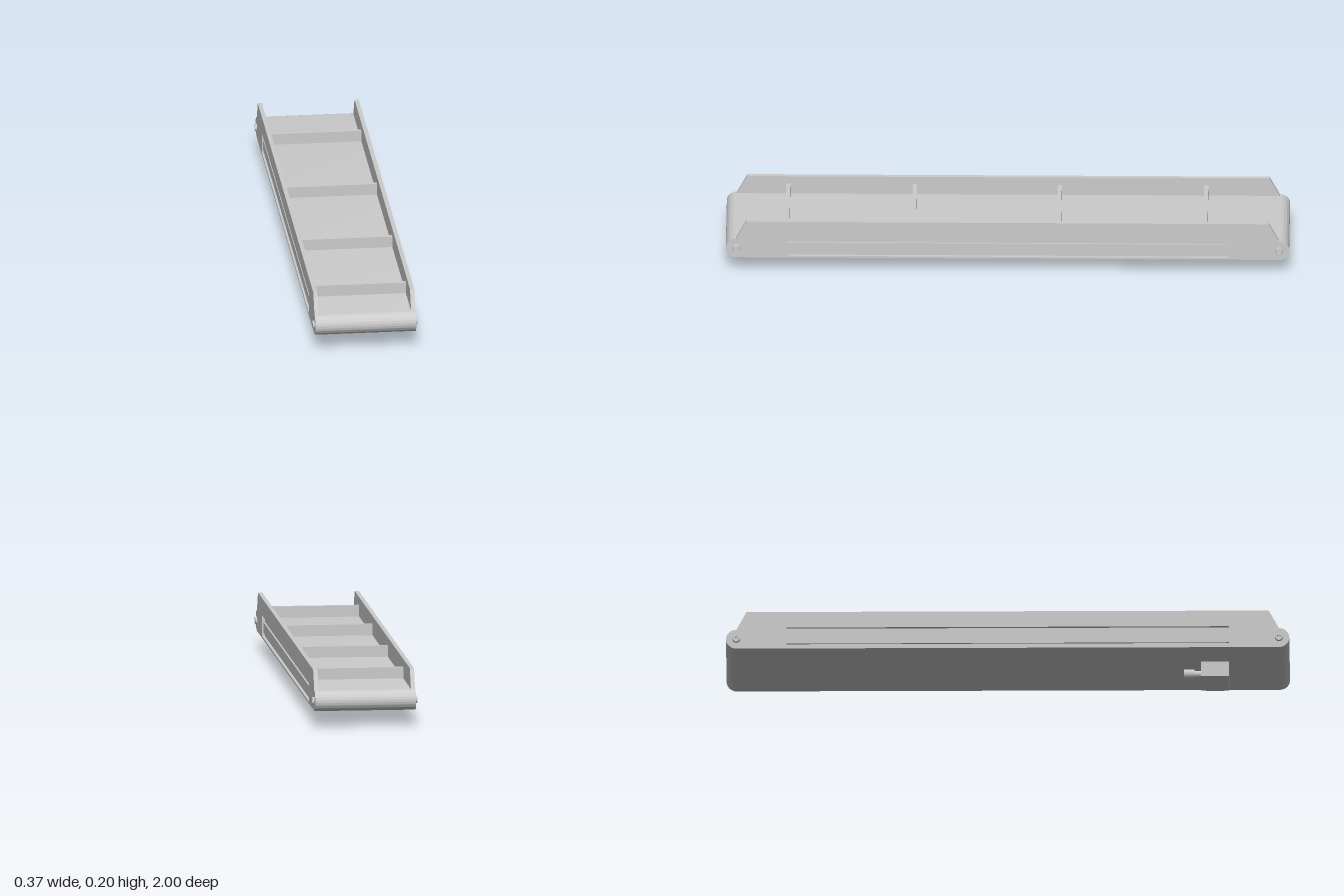
import * as THREE from 'three';
import { toCreasedNormals } from 'three/addons/utils/BufferGeometryUtils.js';

const material = new THREE.MeshStandardMaterial({ color: 0xcccccc });
const MID_Y = 0.094, END_Z = 0.963, RADIUS = 0.037;
const INNER_X = 0.165, OUTER_X = 0.18;
const SLOT = { z: 0.785, bottom: 0.064, top: 0.139 };

export function createModel() {
  const model = new THREE.Group();
  model.name = 'conveyor';

  const add = (name, geometry, x = 0, y = 0, z = 0) => {
    const mesh = new THREE.Mesh(geometry, material);
    mesh.name = name;
    mesh.position.set(x, y, z);
    model.add(mesh);
    return mesh;
  };
  const box = (name, w, h, d, x, y, z) => add(name, new THREE.BoxGeometry(w, h, d), x, y, z);

  // Extrudes a z-y outline across x, centred on x = 0
  const sideExtrude = (shape, width) => {
    const geometry = new THREE.ExtrudeGeometry(shape, { depth: width, bevelEnabled: false, curveSegments: 24 });
    geometry.translate(0, 0, -width / 2).rotateY(-Math.PI / 2);
    return toCreasedNormals(geometry, 0.5);
  };

  // Belt loop wrapped round both end rollers
  const loop = new THREE.Shape();
  loop.absarc(END_Z, MID_Y, RADIUS, -Math.PI / 2, Math.PI / 2);
  loop.absarc(-END_Z, MID_Y, RADIUS, Math.PI / 2, Math.PI * 1.5);
  add('belt', sideExtrude(loop, INNER_X * 2));

  // Side wall outline: round nose, sloped shoulder, raised guard
  const wallOutline = () => {
    const shape = new THREE.Shape();
    shape.absarc(END_Z, MID_Y, RADIUS, -Math.PI / 2, Math.PI / 2);
    shape.lineTo(0.927, 0.2);
    shape.lineTo(-0.927, 0.2);
    shape.absarc(-END_Z, MID_Y, RADIUS, Math.PI / 2, Math.PI * 1.5);
    return shape;
  };
  const slottedOutline = wallOutline();
  const slot = new THREE.Path();
  slot.moveTo(-SLOT.z, SLOT.bottom);
  slot.lineTo(-SLOT.z, SLOT.top);
  slot.lineTo(SLOT.z, SLOT.top);
  slot.lineTo(SLOT.z, SLOT.bottom);
  slot.closePath();
  slottedOutline.holes.push(slot);

  const innerThickness = 0.005, outerThickness = OUTER_X - INNER_X - innerThickness;
  const innerPlate = sideExtrude(wallOutline(), innerThickness);
  const outerPlate = sideExtrude(slottedOutline, outerThickness);

  // Axle end with a recessed centre
  const axleProfile = [[0.014, 0], [0.014, 0.004], [0.0125, 0.007], [0.007, 0.007], [0.007, 0.002], [0, 0.002]];
  const axleEnd = toCreasedNormals(
    new THREE.LatheGeometry(axleProfile.map(([r, h]) => new THREE.Vector2(r, h)), 32), 0.5);

  for (const side of [1, -1]) {
    const label = side > 0 ? 'left' : 'right';
    add(label + 'WallInner', innerPlate, side * (INNER_X + innerThickness / 2));
    add(label + 'WallOuter', outerPlate, side * (OUTER_X - outerThickness / 2));
    // Rail standing in the middle of the side slot
    box(label + 'SlotRail', 0.007, 0.037, SLOT.z * 2, side * 0.1725, 0.0965, 0);
    for (const end of [1, -1]) {
      add(label + 'AxleEnd', axleEnd, side * OUTER_X, MID_Y, end * END_Z).rotation.z = -side * Math.PI / 2;
    }
  }

  // Cross cleats on the carrying side of the belt
  for (const z of [0.782, 0.332, -0.182, -0.702]) {
    box('cleat', INNER_X * 2, 0.041, 0.015, 0, 0.1505, z);
  }

  // Drive unit under the front end
  box('gearbox', 0.12, 0.058, 0.1, 0, 0.029, 0.735);
  box('gearboxCover', 0.025, 0.038, 0.066, 0.0725, 0.028, 0.735);
  const motorPart = (name, radius, length, z) => {
    add(name, new THREE.CylinderGeometry(radius, radius, length, 32), 0, 0.031, z).rotation.x = Math.PI / 2;
  };
  motorPart('motorNeck', 0.016, 0.03, 0.675);
  motorPart('motor', 0.021, 0.037, 0.6435);

  return model;
}
